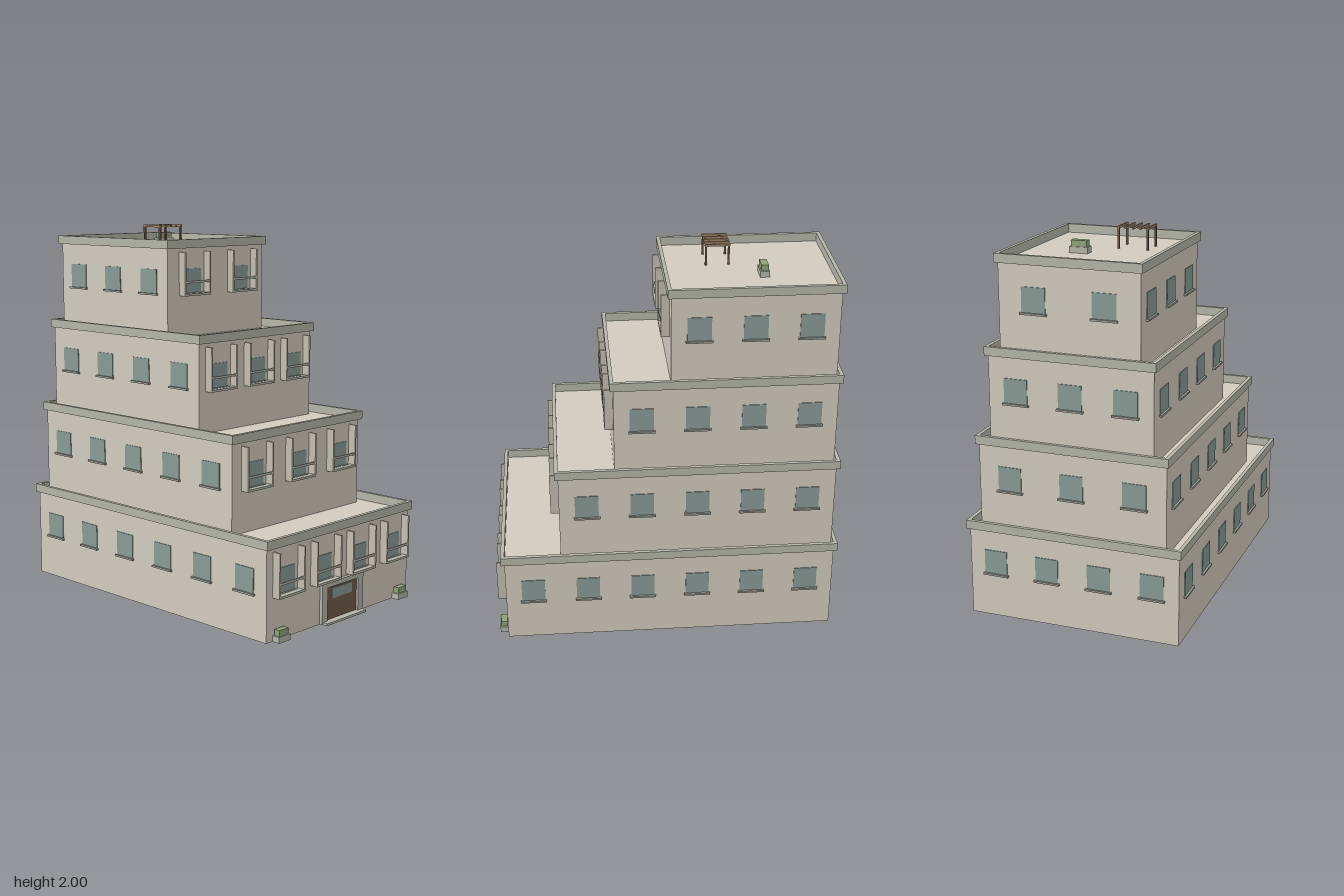
import * as THREE from 'three';

const mat = (color) => new THREE.MeshStandardMaterial({ color });
const M = {
  wall: mat(0xd2ccbf), trim: mat(0xb5b6a9), sill: mat(0x9c9f96), glass: mat(0x8a9b96),
  wood: mat(0x6e5a47), slat: mat(0xa08568), leaf: mat(0x8fa37a), frame: mat(0xc3beb1),
};
const BACK = -0.895, PITCH = 0.47, WALL_TOP = 0.475;

// Box given by its centre in x and z and by its bottom in y
function box(parent, name, material, w, h, d, x, y, z) {
  const mesh = new THREE.Mesh(new THREE.BoxGeometry(w, h, d), material);
  mesh.name = name;
  mesh.position.set(x, y + h / 2, z);
  parent.add(mesh);
  return mesh;
}

function group(parent, name) {
  const g = new THREE.Group();
  g.name = name;
  parent.add(g);
  return g;
}

// Window facing +z, origin on the wall surface at floor level
function makeWindow(parent) {
  const g = group(parent, 'window');
  box(g, 'windowPane', M.glass, 0.125, 0.13, 0.008, 0, 0.235, 0);
  box(g, 'windowSill', M.sill, 0.14, 0.01, 0.03, 0, 0.227, 0);
  return g;
}

// Shallow balcony: floor, two side fins and a front rail
function addBalcony(parent) {
  const g = group(parent, 'balcony');
  box(g, 'balconyFloor', M.trim, 0.195, 0.012, 0.045, 0, 0.223, 0.0225);
  for (const s of [-1, 1]) box(g, 'balconyFin', M.frame, 0.01, 0.225, 0.045, s * 0.0925, 0.23, 0.0225);
  box(g, 'balconyRail', M.trim, 0.185, 0.012, 0.008, 0, 0.291, 0.04);
}

// Raised roof edge: a rectangular ring overhanging the walls
function addParapet(parent, halfW, depth, y, zMid) {
  const rect = (P, a, b) => new P([[-a, -b], [a, -b], [a, b], [-a, b]].map(([x, z]) => new THREE.Vector2(x, z)));
  const a = halfW + 0.014, b = depth / 2 + 0.018, t = 0.02;
  const shape = rect(THREE.Shape, a, b);
  shape.holes.push(rect(THREE.Path, a - t, b - t));
  const geo = new THREE.ExtrudeGeometry(shape, { depth: 0.046, bevelEnabled: false });
  geo.rotateX(-Math.PI / 2);
  const mesh = new THREE.Mesh(geo, M.trim);
  mesh.name = 'parapet';
  mesh.position.set(0, y, zMid);
  parent.add(mesh);
}

function addTier(parent, index, { halfW, front, nFront, nSide }) {
  const g = group(parent, 'tier' + (index + 1));
  const y = index * PITCH, depth = front - BACK, zMid = (front + BACK) / 2;
  box(g, 'walls', M.wall, halfW * 2, WALL_TOP, depth, 0, y, zMid);
  addParapet(g, halfW, depth, y + WALL_TOP, zMid);
  // Front windows with balconies, plain back windows
  for (let i = 0; i < nFront; i++) {
    const x = ((i + 0.5) / nFront - 0.5) * halfW * 2;
    const f = makeWindow(g);
    f.position.set(x, y, front);
    addBalcony(f);
    const b = makeWindow(g);
    b.position.set(x, y, BACK);
    b.rotation.y = Math.PI;
  }
  // Side windows
  for (let i = 0; i < nSide; i++) {
    for (const s of [-1, 1]) {
      const w = makeWindow(g);
      w.position.set(s * halfW, y, front - ((i + 0.5) / nSide) * depth);
      w.rotation.y = s * Math.PI / 2;
    }
  }
}

function addPlanter(parent, x, y, z, w, d) {
  const g = group(parent, 'planter');
  box(g, 'planterBox', M.trim, w, 0.032, d, x, y, z);
  box(g, 'planterHedge', M.leaf, w - 0.016, 0.034, d - 0.012, x, y + 0.03, z);
}

function addEntrance(parent, z) {
  const g = group(parent, 'entrance');
  box(g, 'doorStep', M.trim, 0.32, 0.012, 0.045, 0, 0, z + 0.0225);
  box(g, 'door', M.wood, 0.25, 0.18, 0.012, 0, 0.011, z);
  box(g, 'doorGlass', M.glass, 0.163, 0.055, 0.008, 0, 0.12, z + 0.006);
  for (const s of [-1, 1]) box(g, 'doorJamb', M.trim, 0.042, 0.19, 0.036, s * 0.145, 0, z);
  box(g, 'doorLintel', M.trim, 0.332, 0.026, 0.036, 0, 0.188, z);
}

// Four posts under a row of slats on the roof
function addPergola(parent, y) {
  const g = group(parent, 'pergola');
  const x0 = -0.212, x1 = -0.058, z = -0.31;
  for (const x of [x0, x1])
    for (const s of [-1, 1]) box(g, 'pergolaPost', M.wood, 0.01, 1.99 - y, 0.01, x, y, z + s * 0.06);
  for (let i = 0; i < 5; i++)
    box(g, 'pergolaSlat', M.slat, 0.01, 0.012, 0.134, x0 + (x1 - x0) * i / 4, 1.988, z);
}

export function createModel() {
  const model = new THREE.Group();
  model.name = 'steppedBuilding';
  const tiers = [
    { halfW: 0.57, front: 0.87, nFront: 4, nSide: 6 },
    { halfW: 0.502, front: 0.57, nFront: 3, nSide: 5 },
    { halfW: 0.435, front: 0.272, nFront: 3, nSide: 4 },
    { halfW: 0.367, front: -0.03, nFront: 2, nSide: 3 },
  ];
  tiers.forEach((t, i) => addTier(model, i, t));
  addEntrance(model, tiers[0].front);
  for (const s of [-1, 1]) addPlanter(model, s * 0.484, 0, 0.893, 0.084, 0.044);
  const roof = 3 * PITCH + WALL_TOP;
  addPlanter(model, 0.086, roof, -0.535, 0.1, 0.05);
  addPergola(model, roof);
  return model;
}
